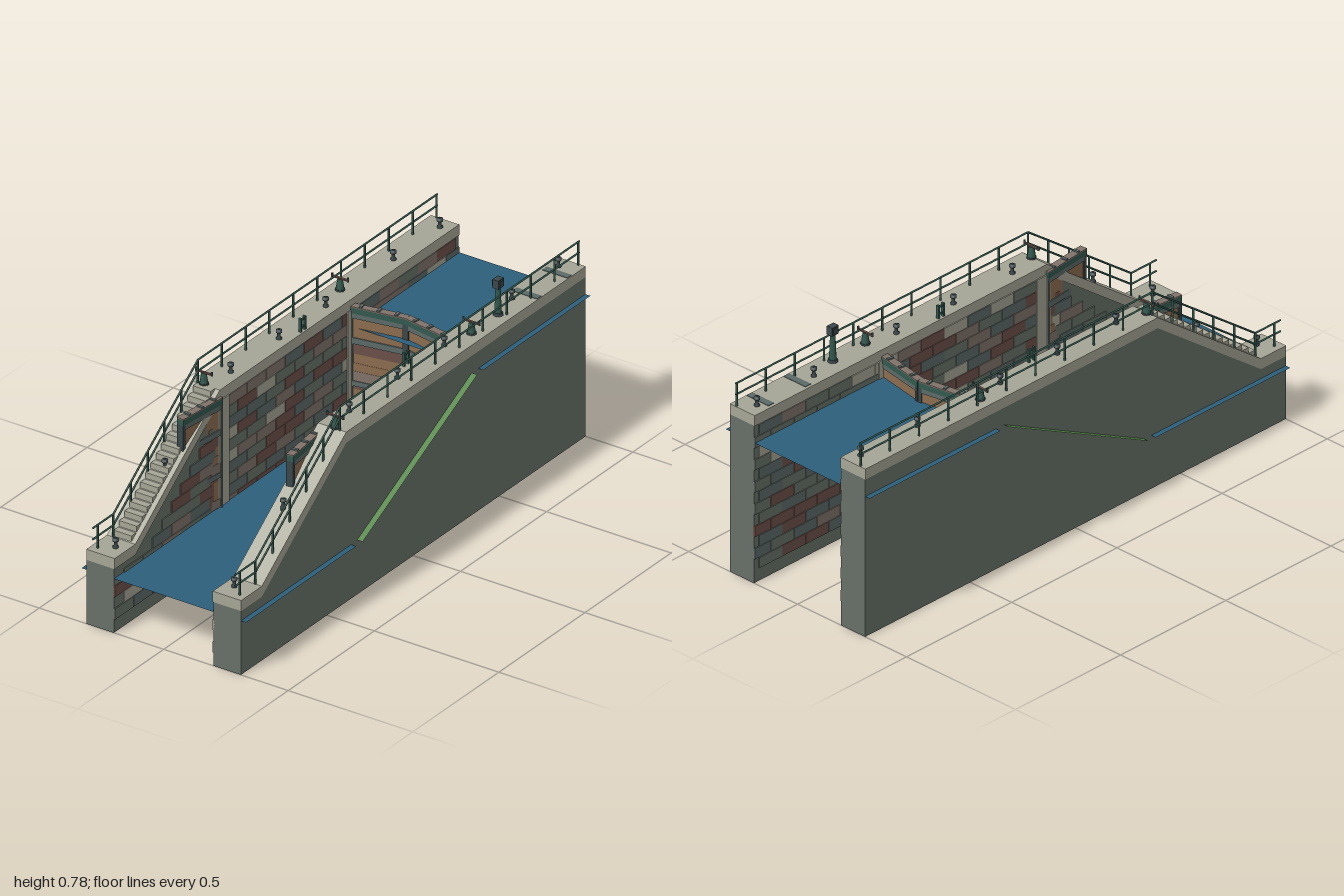
import * as THREE from 'three';
import { mergeGeometries } from 'three/addons/utils/BufferGeometryUtils.js';

const mat = (name, color, side = THREE.FrontSide) => {
  const m = new THREE.MeshStandardMaterial({ color, side });
  m.name = name;
  return m;
};

export function createModel() {
  const root = new THREE.Group();
  root.name = 'canalLock';
  const M = {
    wall: mat('wallStone', 0x667067),
    pale: mat('paleStone', 0xa5a596),
    water: mat('water', 0x2d5f7c, THREE.DoubleSide),
    grass: mat('grass', 0x548548, THREE.DoubleSide),
    green: mat('greenIron', 0x33594f),
    dark: mat('darkIron', 0x3a474a),
    slate: mat('slateBand', 0x5b6a66),
    wood: mat('wood', 0x8c6c50),
    red: mat('redBrown', 0x6c5049),
    tan: mat('greyBrown', 0x80726a),
  };

  const add = (parent, name, geo, m) => {
    const mesh = new THREE.Mesh(geo, m);
    mesh.name = name;
    parent.add(mesh);
    return mesh;
  };
  // box given by its min and max corners
  const boxGeo = (x0, x1, y0, y1, z0, z1) =>
    new THREE.BoxGeometry(x1 - x0, y1 - y0, z1 - z0)
      .translate((x0 + x1) / 2, (y0 + y1) / 2, (z0 + z1) / 2);
  const box = (p, name, m, ...b) => add(p, name, boxGeo(...b), m);
  // thin bar between two points
  const barGeo = (a, b, r) => {
    const A = new THREE.Vector3(...a), d = new THREE.Vector3(...b).sub(A);
    const g = new THREE.CylinderGeometry(r, r, d.length(), 6);
    g.applyQuaternion(new THREE.Quaternion().setFromUnitVectors(
      new THREE.Vector3(0, 1, 0), d.clone().normalize()));
    const c = A.addScaledVector(d, 0.5);
    return g.translate(c.x, c.y, c.z);
  };
  // side profile [z, y] extruded across the wall thickness
  const profile = (pts, x0, x1) =>
    new THREE.ExtrudeGeometry(new THREE.Shape(pts.map(p => new THREE.Vector2(...p))),
      { depth: x1 - x0, bevelEnabled: false }).rotateY(-Math.PI / 2).translate(x1, 0, 0);
  // height of the wall top along z
  const topY = z => z > 0.88 ? 0.28 : z < 0.39 ? 0.64 : 0.28 + 0.36 * (0.88 - z) / 0.49;

  let seed = 7;
  const rnd = () => (seed = (seed * 16807) % 2147483647) / 2147483647;

  // one gate leaf, hinge at the local origin, running along +x
  function gateLeaf() {
    const g = new THREE.Group(), L = 0.203;
    g.name = 'gateLeaf';
    const bands = [
      [0.107, 0.14, 'dark', 0.012], [0.14, 0.18, 'wood', 0.008], [0.18, 0.2, 'slate', 0.012],
      [0.2, 0.207, 'red', 0.008], [0.207, 0.237, 'tan', 0.009], [0.237, 0.305, 'wood', 0.008],
      [0.305, 0.317, 'red', 0.008], [0.317, 0.336, 'slate', 0.012], [0.336, 0.372, 'tan', 0.009],
      [0.372, 0.402, 'wood', 0.008], [0.402, 0.437, 'wood', 0.007], [0.437, 0.475, 'red', 0.008],
      [0.475, 0.498, 'slate', 0.012], [0.498, 0.571, 'wood', 0.008], [0.571, 0.59, 'slate', 0.012],
    ];
    for (const [y0, y1, c, t] of bands) box(g, 'gatePlank', M[c], 0, L - 0.008, y0, y1, -t, t);
    box(g, 'meetingPost', M.dark, L - 0.013, L, 0.107, 0.59, -0.013, 0.013);
    box(g, 'heelPost', M.slate, 0, 0.008, 0.107, 0.59, -0.013, 0.013);
    box(g, 'topBeam', M.green, 0, L, 0.59, 0.611, -0.014, 0.014);
    box(g, 'walkway', M.tan, 0, L, 0.611, 0.615, -0.014, 0.014);
    for (const x of [0.035, 0.1, 0.165]) box(g, 'walkwayCleat', M.slate, x - 0.005, x + 0.005, 0.615, 0.62, -0.012, 0.012);
    return g;
  }

  // one side of the lock, built on +x
  function side(isLeft) {
    const s = new THREE.Group();
    s.name = isLeft ? 'leftSide' : 'rightSide';
    add(s, 'wall', profile([[-1, 0], [1, 0], [1, 0.24], [0.88, 0.24], [0.39, 0.6], [-1, 0.6]], 0.2, 0.31), M.wall);
    add(s, 'coping', profile([[-1, 0.6], [0.39, 0.6], [0.88, 0.24], [1, 0.24], [1, 0.28],
      [0.88, 0.28], [0.39, 0.64], [-1, 0.64]], 0.197, 0.311), M.pale);

    // facing bricks on the chamber side
    const lots = { pale: [], wall: [], red: [], tan: [], slate: [] };
    const mix = ['wall', 'wall', 'slate', 'pale', 'red', 'red', 'tan', 'slate'];
    const h = 0.0423;
    for (let r = 0; r < 13; r++) {
      const y = 0.05 + r * h;
      for (let z = r % 2 ? 0.945 : 1; z > -0.95; z -= 0.11) {
        const c = mix[Math.floor(rnd() * mix.length)];
        if (y + h > topY(z) - 0.038) continue;
        lots[c].push(boxGeo(0.196, 0.204, y, y + h - 0.002, Math.max(z - 0.108, -1), z));
      }
    }
    for (const c in lots) add(s, c + 'Bricks', mergeGeometries(lots[c]), M[c]);

    // quoin columns beside each gate
    for (const z of [0.37, -0.38]) box(s, 'quoin', M.pale, 0.193, 0.205, 0.085, 0.602, z - 0.032, z + 0.032);

    // railing
    const bars = [], zs = [0.97, 0.88, 0.78, 0.68, 0.585, 0.487];
    for (let i = 0; i <= 10; i++) zs.push(0.39 - i * 0.1385);
    for (const z of zs) bars.push(barGeo([0.285, topY(z) - 0.01, z], [0.285, topY(z) + 0.087, z], 0.004));
    for (const dy of [0.045, 0.087]) {
      const line = [1, 0.88, 0.39, -1].map(z => [0.285, topY(z) + dy, z]);
      for (let i = 0; i < 3; i++) bars.push(barGeo(line[i], line[i + 1], 0.0035));
    }
    add(s, 'railing', mergeGeometries(bars), M.green);

    // mooring bollards
    const bollard = new THREE.LatheGeometry([[0, -0.008], [0.01, -0.008], [0.01, 0.005], [0.006, 0.008],
      [0.006, 0.022], [0.011, 0.025], [0.011, 0.034], [0, 0.034]].map(p => new THREE.Vector2(...p)), 10);
    for (const z of [0.935, 0.65, 0.267, -0.013, -0.284, -0.677, -0.947])
      add(s, 'bollard', bollard, M.dark).position.set(0.238, topY(z), z);

    // paddle winches
    for (const z of [0.385, -0.405]) {
      const w = new THREE.Group();
      w.name = 'paddleWinch';
      w.position.set(0.264, 0.64, z);
      add(w, 'winchBase', new THREE.CylinderGeometry(0.017, 0.017, 0.006, 10).translate(0, 0.003, 0), M.dark);
      add(w, 'winchPedestal', new THREE.CylinderGeometry(0.009, 0.015, 0.04, 10).translate(0, 0.024, 0), M.green);
      box(w, 'winchBar', M.red, -0.034, 0.034, 0.042, 0.047, -0.004, 0.004);
      for (const x of [-0.032, 0.032])
        add(w, 'winchHandle', new THREE.CylinderGeometry(0.004, 0.004, 0.014, 8).translate(x, 0.047, 0), M.dark);
      s.add(w);
    }

    // ladder grab rails
    for (const z of [-0.117, -0.093]) box(s, 'grabRail', M.green, 0.203, 0.213, 0.63, 0.69, z - 0.004, z + 0.004);
    for (const y of [0.655, 0.682]) box(s, 'grabRung', M.green, 0.205, 0.211, y - 0.003, y + 0.003, -0.117, -0.093);

    // gates: one closed upstream, one folded back into the wall
    const place = (name, z, dx, dz) => {
      const leaf = gateLeaf();
      leaf.name = name;
      leaf.position.set(0.2, 0, z);
      leaf.rotation.y = Math.atan2(-dz, dx);
      s.add(leaf);
    };
    place('closedGate', -0.382, -0.2, -0.035);
    place('openGate', 0.385, 0.02, 0.2);

    // grass slope outside the wall
    const slope = new THREE.PlaneGeometry(0.03, Math.hypot(0.665, 0.33)).rotateX(-Math.PI / 2);
    slope.rotateX(Math.atan2(0.33, 0.665)).translate(0.317, 0.37, -0.0075);
    add(s, 'grassSlope', slope, M.grass);
    return s;
  }

  const left = side(true), right = side(false);
  right.scale.x = -1;
  root.add(left, right);

  // stairs on the right slope
  for (let i = 0; i < 16; i++) {
    const z = 0.88 - (i + 0.5) * 0.49 / 16, y = topY(z);
    box(right, 'stairTread', M.pale, 0.215, 0.286, y - 0.015, y + 0.013, z - 0.014, z + 0.012);
  }

  // signal post and cover strips on the left wall
  const post = new THREE.Group();
  post.name = 'signalPost';
  post.position.set(0.262, 0.64, -0.562);
  add(post, 'postFoot', new THREE.CylinderGeometry(0.016, 0.018, 0.01, 10).translate(0, 0.005, 0), M.dark);
  add(post, 'postShaft', new THREE.CylinderGeometry(0.009, 0.013, 0.1, 10).translate(0, 0.055, 0), M.green);
  box(post, 'signalBox', M.dark, -0.012, 0.012, 0.104, 0.136, -0.016, 0.016);
  box(post, 'signalPanel', M.dark, -0.016, 0.016, 0.108, 0.132, -0.012, 0.012);
  left.add(post);
  for (const z of [-0.91, -0.735]) box(left, 'coverStrip', M.slate, 0.208, 0.308, 0.638, 0.642, z - 0.013, z + 0.013);

  // water surfaces
  const water = (name, halfWidth, y, z0, z1) => add(root, name,
    new THREE.PlaneGeometry(halfWidth * 2, z1 - z0).rotateX(-Math.PI / 2).translate(0, y, (z0 + z1) / 2), M.water);
  water('upperWater', 0.33, 0.535, -1, -0.378);
  water('chamberWater', 0.2, 0.203, -0.4, 0.36);
  water('lowerWater', 0.33, 0.203, 0.36, 1);
  return root;
}
